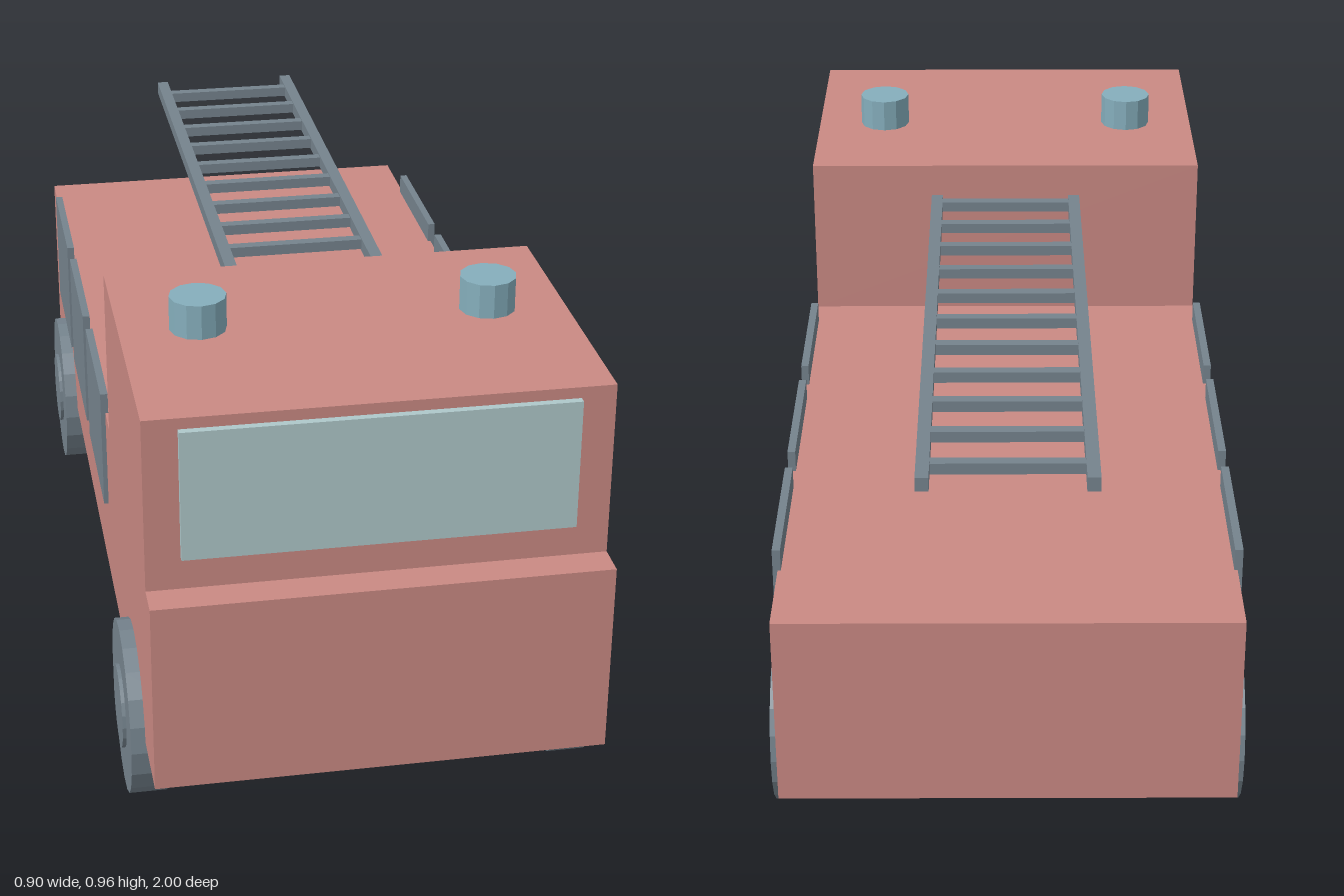
import * as THREE from 'three';

const mat = (name, color, flatShading = false) => {
  const m = new THREE.MeshStandardMaterial({ color, flatShading });
  m.name = name;
  return m;
};

export function createModel() {
  const red = mat('paintRed', 0xc98983);
  const grey = mat('steelGrey', 0x75838d, true);
  const glass = mat('windowGlass', 0xaec7c9);
  const blue = mat('beaconBlue', 0x85aebc, true);
  const truck = new THREE.Group();
  truck.name = 'fireTruck';

  const add = (parent, name, geometry, material) => {
    const mesh = new THREE.Mesh(geometry, material);
    mesh.name = name;
    parent.add(mesh);
    return mesh;
  };

  // Box given by its lower and upper limits on each axis
  const box = (parent, name, material, [x0, x1], [y0, y1], [z0, z1]) =>
    add(parent, name, new THREE.BoxGeometry(x1 - x0, y1 - y0, z1 - z0), material)
      .position.set((x0 + x1) / 2, (y0 + y1) / 2, (z0 + z1) / 2);

  // Body, cab and windscreen
  box(truck, 'body', red, [-0.416, 0.416], [0.19, 0.563], [-1, 1]);
  box(truck, 'cab', red, [-0.416, 0.416], [0.563, 0.897], [0.315, 0.936]);
  box(truck, 'windscreen', glass, [-0.353, 0.353], [0.627, 0.876], [0.936, 0.95]);

  for (const side of [-1, 1]) {
    const label = side > 0 ? 'left' : 'right';

    // Roof beacons
    add(truck, `${label}Beacon`, new THREE.CylinderGeometry(0.053, 0.053, 0.066, 12), blue)
      .position.set(side * 0.27, 0.93, 0.583);

    // Equipment shutters, standing a little above the deck
    for (let i = 0; i < 3; i++) {
      const z = 0.085 - i * 0.375;
      const x = side > 0 ? [0.41, 0.425] : [-0.425, -0.41];
      box(truck, `${label}Shutter${i + 1}`, grey, x, [0.357, 0.605], [z - 0.156, z + 0.156]);
    }

    // Wheels with raised hubs
    for (const [end, z] of [['Front', 0.69], ['Rear', -0.69]]) {
      const wheel = new THREE.Group();
      wheel.name = `${label}${end}Wheel`;
      wheel.position.set(side * 0.407, 0.168, z);
      wheel.rotation.z = -side * Math.PI / 2;
      add(wheel, 'tyre', new THREE.CylinderGeometry(0.166, 0.166, 0.072, 20), grey);
      add(wheel, 'hub', new THREE.CylinderGeometry(0.08, 0.08, 0.03, 20), grey).position.y = 0.028;
      truck.add(wheel);
    }
  }

  // Ladder: two rails and eleven rungs, fixed to the back of the cab
  const ladder = new THREE.Group();
  ladder.name = 'ladder';
  for (const x of [-0.148, 0.148])
    box(ladder, 'rail', grey, [x - 0.012, x + 0.012], [0.802, 0.829], [-0.957, 0.33]);
  for (let i = 0; i < 11; i++) {
    const z = -0.89 + i * 0.118;
    box(ladder, 'rung', grey, [-0.14, 0.14], [0.805, 0.826], [z - 0.011, z + 0.011]);
  }
  truck.add(ladder);

  return truck;
}
